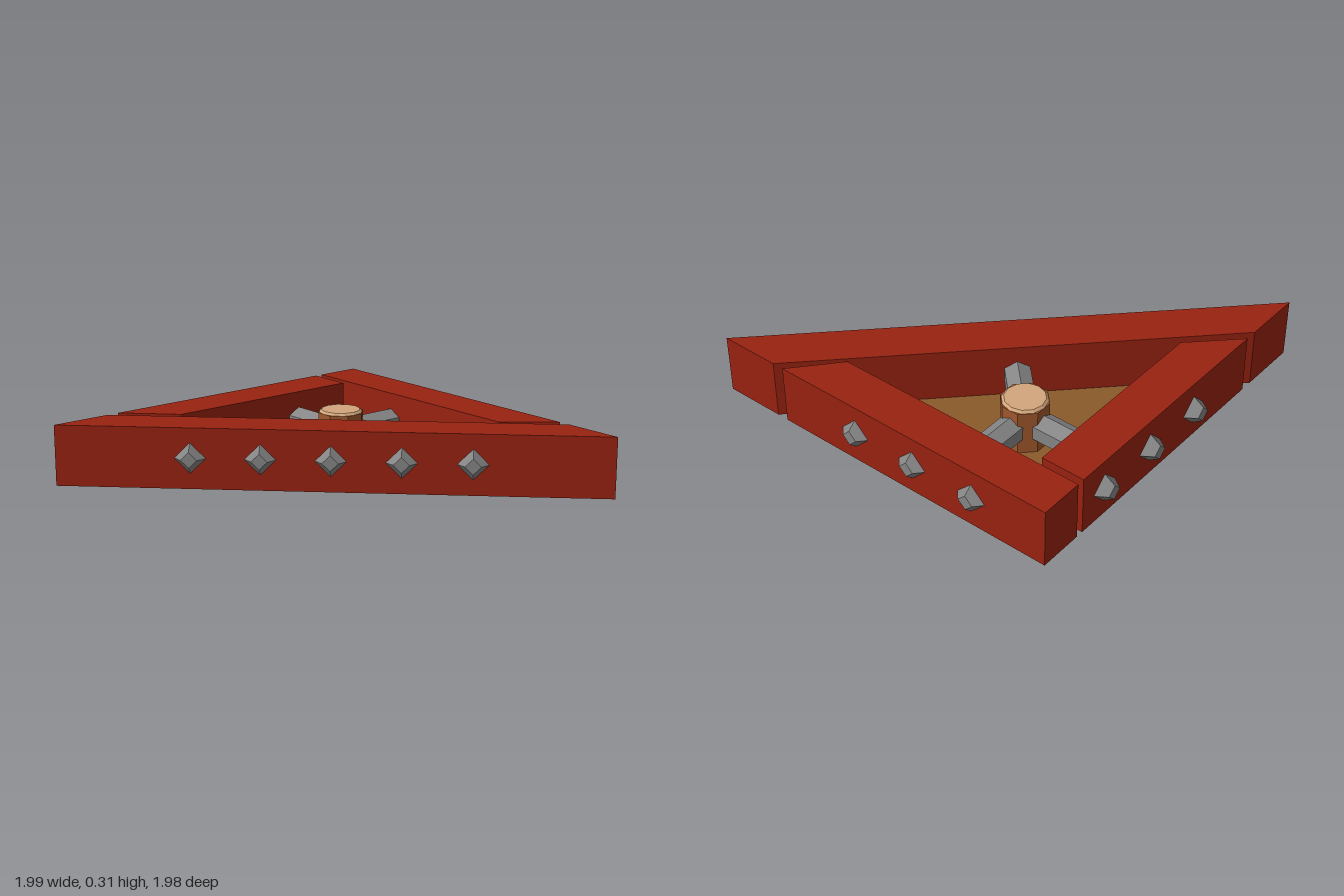
import * as THREE from 'three';

export function createModel() {
  const model = new THREE.Group();
  const mat = (name, color) => {
    const m = new THREE.MeshStandardMaterial({ color });
    m.name = name;
    return m;
  };
  const red = mat('red paint', 0x992211);
  const floorBrown = mat('floor brown', 0x8b5a2b);
  const bark = mat('post brown', 0xa0592d);
  const tan = mat('cut wood tan', 0xd2a67c);
  const grey = mat('grey metal', 0x868686);

  // Faceted geometry with hard edges
  const faceted = (geometry) => {
    const g = geometry.index ? geometry.toNonIndexed() : geometry;
    g.computeVertexNormals();
    return g;
  };
  const add = (name, geometry, material, x = 0, y = 0, z = 0, turn = 0) => {
    const mesh = new THREE.Mesh(geometry, material);
    mesh.name = name;
    mesh.position.set(x, y, z);
    mesh.rotation.y = turn;
    model.add(mesh);
    return mesh;
  };
  // Upright slab from a floor plan of [x, z] corners
  const slab = (plan, height) => {
    const shape = new THREE.Shape(plan.map(([x, z]) => new THREE.Vector2(x, -z)));
    const g = new THREE.ExtrudeGeometry(shape, { depth: height, bevelEnabled: false });
    return faceted(g.rotateX(-Math.PI / 2));
  };

  // Three mitred beams
  const H = 0.31;
  add('backBeam', slab([[-0.943, -0.955], [0.617, -0.955], [0.418, -0.725], [-0.943, -0.725]], H), red);
  add('sideBeam', slab([[-0.943, -0.687], [-0.713, -0.687], [-0.713, 0.38], [-0.943, 0.605]], H), red);
  add('diagonalBeam', slab([[0.677, -0.955], [0.99, -0.955], [-0.943, 0.98], [-0.943, 0.668]], H), red);

  // Triangular floor
  add('floor', slab([[-0.725, -0.725], [0.44, -0.725], [-0.725, 0.44]], 0.04), floorBrown);

  // Centre post with a cut top
  const cx = -0.371, cz = -0.377;
  const post = new THREE.CylinderGeometry(0.12, 0.12, 0.27, 8).rotateY(Math.PI / 8);
  add('post', faceted(post), bark, cx, 0.135, cz);
  add('postTop', faceted(new THREE.CylinderGeometry(0.1, 0.112, 0.012, 12)), tan, cx, 0.276, cz);

  // Outward headings of the three sides
  const BACK = Math.PI, SIDE = -Math.PI / 2, DIAGONAL = Math.PI / 4;

  // Six-sided spokes from the post to the beams
  const spoke = faceted(new THREE.CylinderGeometry(0.072, 0.072, 0.35, 6)
    .rotateX(Math.PI / 2).translate(0, 0, 0.175));
  for (const turn of [BACK, SIDE, DIAGONAL]) add('spoke', spoke, grey, cx, 0.155, cz, turn);

  // Blunt diamond studs on the outer faces
  const stud = faceted(new THREE.CylinderGeometry(0.04, 0.078, 1, 4)
    .translate(0, 0.5, 0).rotateX(Math.PI / 2));
  const addStud = (x, z, turn, depth) => {
    add('stud', stud, grey, x, 0.157, z, turn).scale.z = depth;
  };
  for (let i = 0; i < 3; i++) {
    const s = -0.53 + i * 0.346;
    addStud(s, -0.955, BACK, 0.042);
    addStud(-0.943, s, SIDE, 0.057);
  }
  for (let i = -2; i <= 2; i++) addStud(0.018 + i * 0.244, 0.018 - i * 0.244, DIAGONAL, 0.044);

  return model;
}
